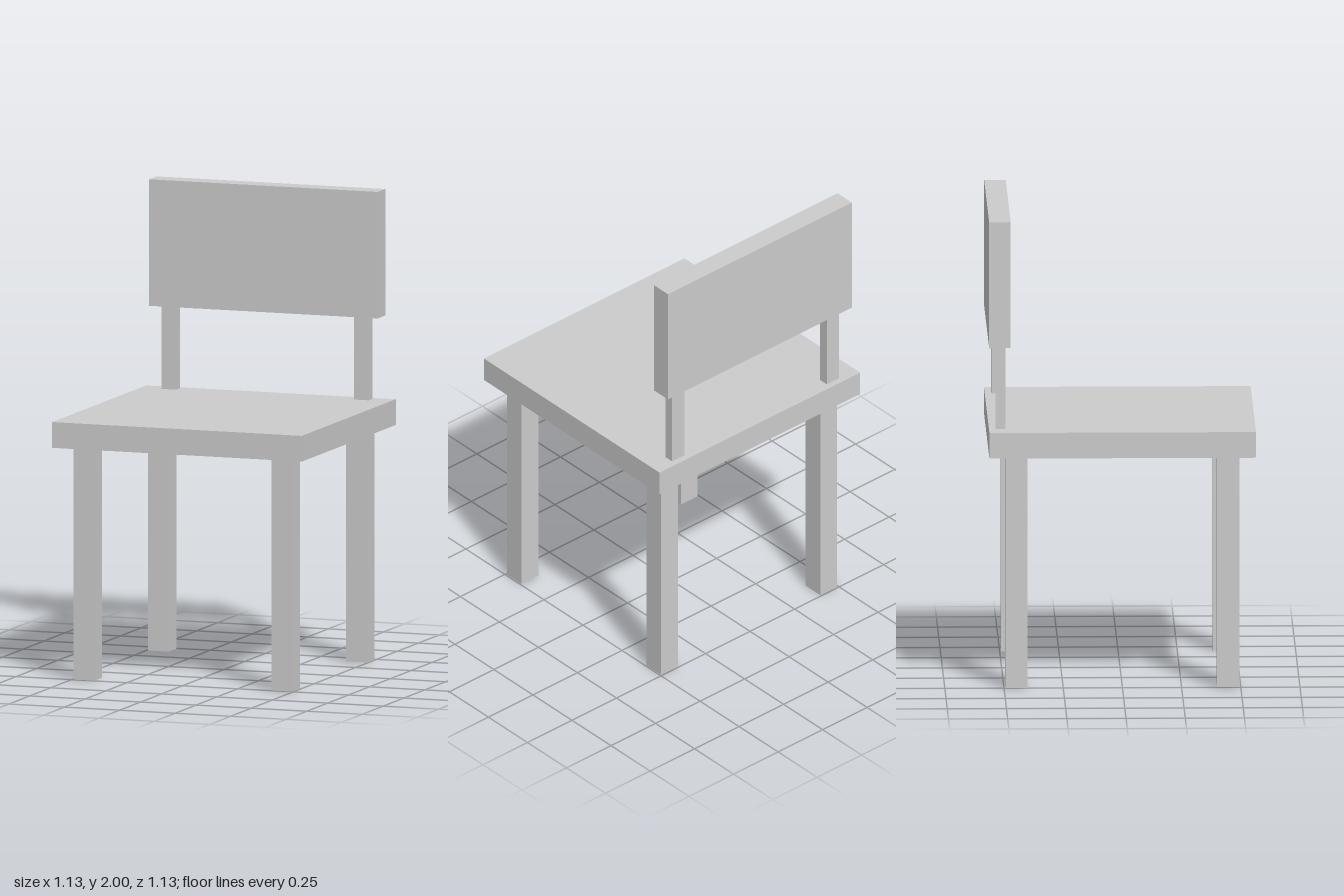
import * as THREE from 'three';

const material = new THREE.MeshStandardMaterial({ color: 0xcccccc, flatShading: true });

// Box given by its lower and upper limits on each axis
function block(name, [x0, x1], [y0, y1], [z0, z1]) {
  const mesh = new THREE.Mesh(new THREE.BoxGeometry(x1 - x0, y1 - y0, z1 - z0), material);
  mesh.position.set((x0 + x1) / 2, (y0 + y1) / 2, (z0 + z1) / 2);
  mesh.name = name;
  return mesh;
}

// Range of the given limits, mirrored to the negative side when side is -1
const span = (side, inner, outer) => (side > 0 ? [inner, outer] : [-outer, -inner]);

export function createModel() {
  const chair = new THREE.Group();
  chair.name = 'chair';

  const seatBottom = 0.995, seatTop = 1.105, backBottom = 1.46;

  chair.add(block('seat', [-0.563, 0.563], [seatBottom, seatTop], [-0.563, 0.563]));
  chair.add(block('backrest', [-0.516, 0.516], [backBottom, 2], [-0.563, -0.472]));

  for (const side of [-1, 1]) {
    const label = side > 0 ? 'left' : 'right';

    // Square legs, front and back
    for (const end of [-1, 1]) {
      chair.add(block(`${label}${end > 0 ? 'Front' : 'Back'}Leg`,
        span(side, 0.4, 0.494), [0, seatBottom], span(end, 0.4, 0.494)));
    }

    // Thin post carrying the backrest
    chair.add(block(`${label}BackPost`,
      span(side, 0.4, 0.468), [seatTop, backBottom], [-0.535, -0.493]));
  }
  return chair;
}
